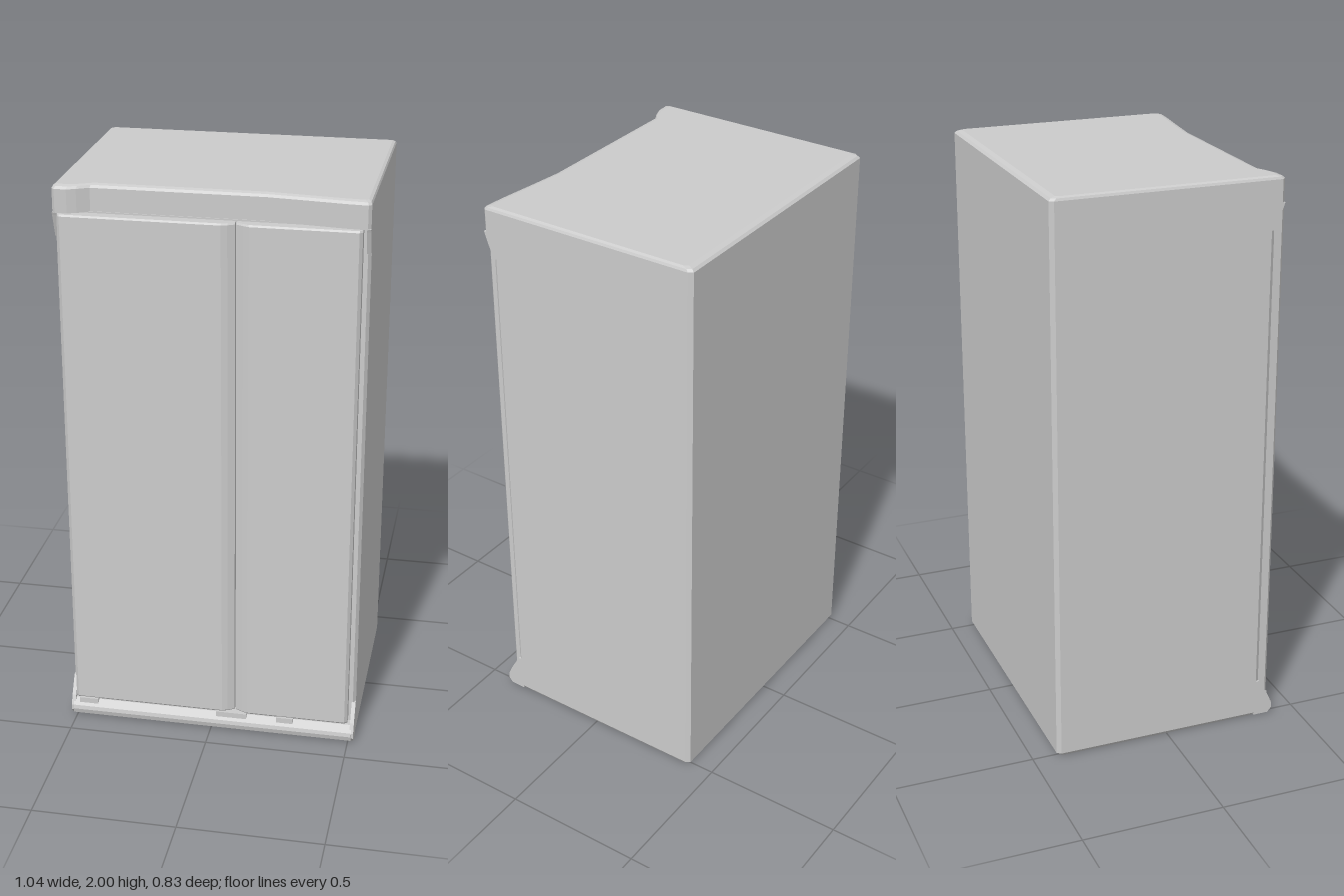
import * as THREE from 'three';

const grey = new THREE.MeshStandardMaterial({ color: 0xcccccc });

function mesh(name, geometry) {
  const m = new THREE.Mesh(geometry, grey);
  m.name = name;
  return m;
}

// Stack a plan outline of [x, z] points through layers [y, xScale, zScale].
function stack(name, plan, layers) {
  const shape = new THREE.Shape(plan.map(([x, z]) => new THREE.Vector2(x, -z)));
  const n = layers.length - 1;
  const g = new THREE.ExtrudeGeometry(shape, { depth: n, steps: n, bevelEnabled: false });
  g.rotateX(-Math.PI / 2);
  const p = g.attributes.position;
  for (let i = 0; i < p.count; i++) {
    const [y, sx, sz] = layers[Math.round(p.getY(i))];
    p.setXYZ(i, p.getX(i) * sx, y, p.getZ(i) * sz);
  }
  g.computeVertexNormals();
  return mesh(name, g);
}

// Run a side profile of [z, y] points across from x0 to x1.
function across(name, profile, x0, x1) {
  const shape = new THREE.Shape(profile.map(([z, y]) => new THREE.Vector2(z, y)));
  const g = new THREE.ExtrudeGeometry(shape, { depth: x1 - x0, bevelEnabled: false });
  g.rotateY(-Math.PI / 2);
  g.translate(x1, 0, 0);
  return mesh(name, g);
}

export function createModel() {
  const model = new THREE.Group();
  model.name = 'refrigerator';

  // Cabinet with chamfered corners and underside
  const back = [[0.51, -0.415], [-0.51, -0.415], [-0.52, -0.4]];
  const body = [[0.52, 0.345], [0.52, -0.4], ...back, [-0.52, 0.345], [-0.51, 0.358], [0.51, 0.358]];
  model.add(stack('cabinet', body, [[0, 0.985, 0.97], [0.012, 1, 1], [1.91, 1, 1]]));

  // Top cap with a scooped front and softened upper edge
  const cap = [
    [0.52, 0.38], [0.52, -0.4], ...back, [-0.52, 0.38], [-0.51, 0.39], [-0.47, 0.388],
    [-0.44, 0.377], [-0.4, 0.355], [0.18, 0.355], [0.3, 0.368], [0.44, 0.385], [0.51, 0.39],
  ];
  model.add(stack('topCap', cap, [
    [1.908, 1, 1], [1.988, 1, 1], [1.996, 0.993, 0.98], [2, 0.975, 0.94],
  ]));

  // Two unequal doors, each sloping in towards the central seam
  const wideDoor = [
    [-0.505, 0.35], [-0.505, 0.388], [-0.495, 0.398], [0.04, 0.398],
    [0.06, 0.391], [0.083, 0.378], [0.083, 0.35],
  ];
  const narrowDoor = [
    [0.087, 0.35], [0.087, 0.378], [0.11, 0.39], [0.13, 0.398],
    [0.485, 0.398], [0.495, 0.388], [0.495, 0.35],
  ];
  const doorLayers = [[0.07, 1, 0.99], [0.076, 1, 1], [1.899, 1, 1], [1.905, 1, 0.99]];
  model.add(stack('wideDoor', wideDoor, doorLayers));
  model.add(stack('narrowDoor', narrowDoor, doorLayers));

  // Rounded kick plate projecting below the doors
  const lip = [
    [0.33, 0.002], [0.395, 0.002], [0.41, 0.01], [0.415, 0.028],
    [0.412, 0.042], [0.403, 0.055], [0.39, 0.064], [0.33, 0.064],
  ];
  model.add(across('kickPlate', lip, -0.512, 0.512));

  // Tapered gussets at the four front corners
  const upper = [[0.34, 1.82], [0.358, 1.82], [0.386, 1.9], [0.39, 1.91], [0.34, 1.91]];
  const lower = [[0.34, 0.003], [0.395, 0.003], [0.41, 0.02], [0.41, 0.04], [0.395, 0.075], [0.358, 0.14], [0.34, 0.14]];
  for (const s of [-1, 1]) {
    const x0 = s < 0 ? -0.52 : 0.506;
    model.add(across('upperGusset', upper, x0, x0 + 0.014));
    model.add(across('lowerGusset', lower, x0, x0 + 0.014));
  }

  // Small hinge covers between doors and kick plate
  for (const [x, w] of [[-0.455, 0.07], [0.075, 0.11], [0.27, 0.06]]) {
    const cover = mesh('hingeCover', new THREE.BoxGeometry(w, 0.02, 0.05));
    cover.position.set(x, 0.062, 0.38);
    model.add(cover);
  }

  return model;
}
